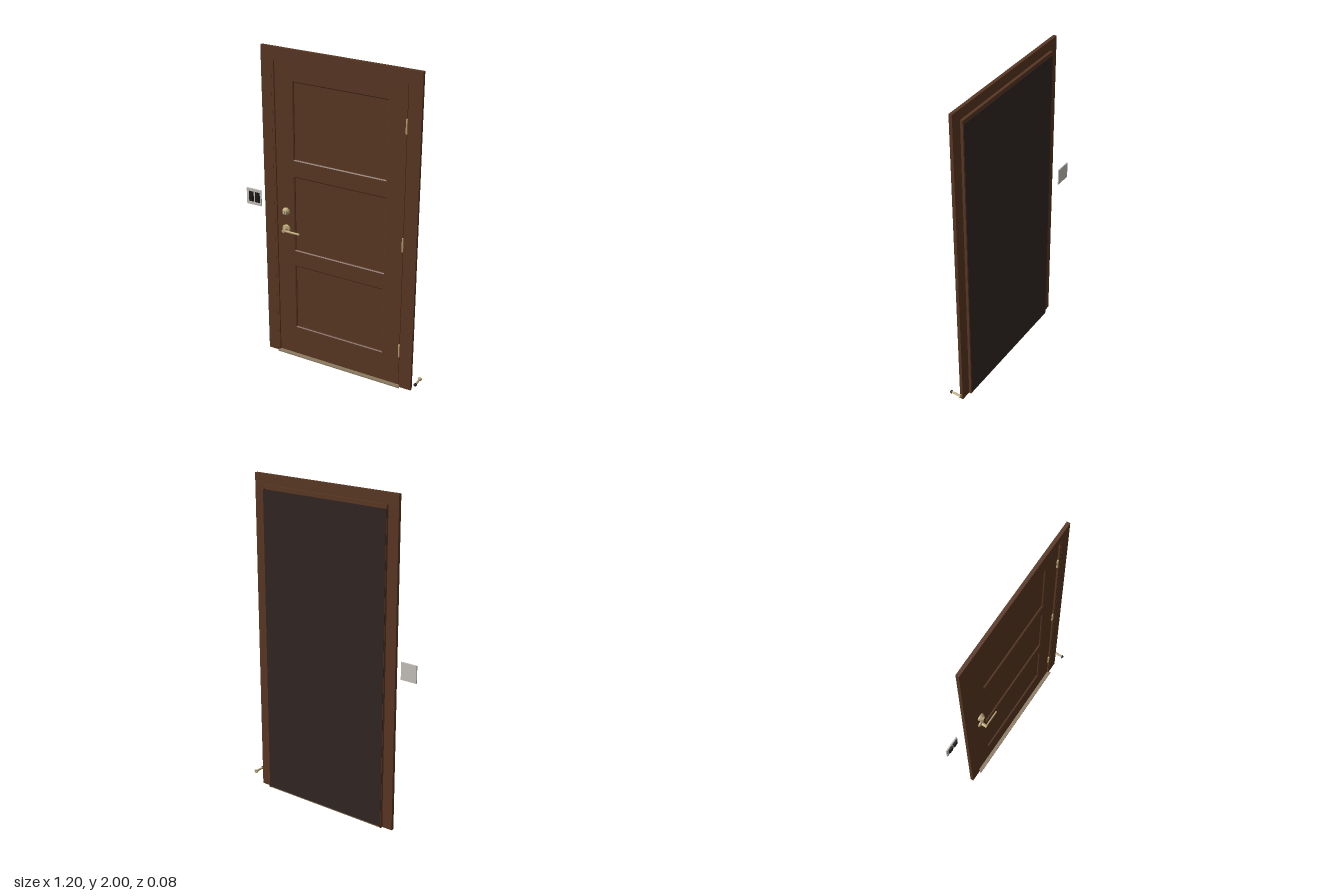
import * as THREE from 'three';

const mat = (name, color) => Object.assign(new THREE.MeshStandardMaterial({ color }), { name });

export function createModel() {
  const wood = mat('brown wood', 0x593622);
  const back = mat('dark backing', 0x312522);
  const brass = mat('pale brass', 0xb8a274);
  const sillMetal = mat('sill metal', 0x8a7a60);
  const plate = mat('switch plate', 0xc4c1bc);
  const black = mat('black', 0x1c1a19);

  const root = new THREE.Group();
  root.name = 'doorway';
  const group = (name) => {
    const g = new THREE.Group();
    g.name = name;
    root.add(g);
    return g;
  };
  const add = (parent, name, geo, m) => {
    const mesh = new THREE.Mesh(geo, m);
    mesh.name = name;
    parent.add(mesh);
    return mesh;
  };
  // box given by its limits on each axis
  const box = (parent, name, m, x0, x1, y0, y1, z0, z1) => {
    const b = add(parent, name, new THREE.BoxGeometry(x1 - x0, y1 - y0, z1 - z0), m);
    b.position.set((x0 + x1) / 2, (y0 + y1) / 2, (z0 + z1) / 2);
    return b;
  };
  // turned part along z, profile as [radius, z] pairs
  const turned = (parent, name, m, x, y, profile, seg = 24) => {
    const geo = new THREE.LatheGeometry(profile.map(([r, z]) => new THREE.Vector2(r, z)), seg);
    geo.rotateX(Math.PI / 2);
    const t = add(parent, name, geo.toNonIndexed(), m);
    t.geometry.computeVertexNormals();
    t.position.set(x, y, 0);
    return t;
  };

  // casing and jambs
  const frame = group('frame');
  box(frame, 'headCasing', wood, -0.45, 0.54, 1.925, 2, -0.02, 0);
  box(frame, 'rightCasing', wood, -0.45, -0.384, 0, 1.925, -0.02, 0);
  box(frame, 'leftCasing', wood, 0.474, 0.54, 0, 1.925, -0.02, 0);
  box(frame, 'rightJamb', wood, -0.384, -0.37, 0, 1.938, -0.036, -0.001);
  box(frame, 'leftJamb', wood, 0.46, 0.474, 0, 1.938, -0.036, -0.001);
  box(frame, 'headJamb', wood, -0.37, 0.46, 1.92, 1.938, -0.036, -0.001);
  box(frame, 'sill', sillMetal, -0.378, 0.467, 0, 0.008, -0.035, 0.014);
  box(frame, 'backing', back, -0.382, 0.468, 0.008, 1.915, -0.038, -0.036);

  // door leaf: stiles, rails and recessed panels
  const door = group('door');
  const zb = -0.034, zf = -0.008;
  const px0 = -0.255, px1 = 0.343;
  box(door, 'lockStile', wood, -0.368, px0, 0.011, 1.918, zb, zf);
  box(door, 'hingeStile', wood, px1, 0.454, 0.011, 1.918, zb, zf);
  const panels = [[0.205, 0.645], [0.745, 1.235], [1.335, 1.815]];
  const rails = [0.011, ...panels.flat(), 1.918];
  for (let i = 0; i < rails.length; i += 2) {
    box(door, 'rail', wood, px0, px1, rails[i], rails[i + 1], zb, zf);
  }
  for (const [y0, y1] of panels) {
    const geo = new THREE.BufferGeometry();
    const pos = [];
    // nested rectangles: [inset, z]
    const loops = [[0, zf], [0.006, zf - 0.004], [0.007, zf - 0.01], [0.012, zf - 0.01]];
    const ring = ([d, z]) => [
      [px0 + d, y0 + d, z], [px1 - d, y0 + d, z], [px1 - d, y1 - d, z], [px0 + d, y1 - d, z]];
    const quad = (a, b, c, d) => pos.push(...a, ...b, ...c, ...a, ...c, ...d);
    for (let i = 0; i + 1 < loops.length; i++) {
      const o = ring(loops[i]), n = ring(loops[i + 1]);
      for (let k = 0; k < 4; k++) quad(o[k], o[(k + 1) % 4], n[(k + 1) % 4], n[k]);
    }
    quad(...ring(loops[loops.length - 1]));
    geo.setAttribute('position', new THREE.Float32BufferAttribute(pos, 3));
    geo.computeVertexNormals();
    add(door, 'recessedPanel', geo, wood);
  }

  // hinges
  for (const y of [0.255, 0.965, 1.68]) {
    const hinge = group('hinge');
    hinge.position.set(0.454, y, -0.005);
    add(hinge, 'knuckle', new THREE.CylinderGeometry(0.006, 0.006, 0.08, 16), brass);
    for (const s of [-1, 1]) {
      add(hinge, 'finial', new THREE.SphereGeometry(0.005, 12, 8), brass).position.y = s * 0.041;
    }
    box(hinge, 'leaf', brass, -0.007, 0.004, -0.04, 0.04, -0.004, -0.001);
  }

  // lever handle
  const handle = group('leverHandle');
  turned(handle, 'rose', brass, -0.308, 0.885,
    [[0.026, zf], [0.026, -0.002], [0.022, 0.002], [0.011, 0.004], [0.009, 0.03], [0.011, 0.036], [0, 0.037]]);
  const lever = add(handle, 'lever', new THREE.CapsuleGeometry(0.007, 0.1, 6, 14), brass);
  lever.rotation.z = Math.PI / 2;
  lever.scale.z = 0.7;
  lever.position.set(-0.255, 0.885, 0.031);

  // deadbolt
  const bolt = group('deadbolt');
  turned(bolt, 'boltRose', brass, -0.308, 1,
    [[0.024, zf], [0.024, 0], [0.016, 0.012], [0.013, 0.018], [0, 0.018]]);
  turned(bolt, 'keyCylinder', plate, -0.308, 1, [[0.009, 0.017], [0.009, 0.02], [0, 0.02]]);
  box(bolt, 'keySlot', black, -0.3095, -0.3065, 0.995, 1.005, 0.0195, 0.021);

  // wall switch
  const sw = group('wallSwitch');
  box(sw, 'coverPlate', plate, -0.6, -0.499, 0.975, 1.08, -0.038, -0.031);
  for (const x of [-0.567, -0.524]) {
    box(sw, 'rocker', black, x - 0.016, x + 0.016, 0.997, 1.062, -0.031, -0.027);
    box(sw, 'rockerRaise', black, x - 0.012, x + 0.012, 1.005, 1.054, -0.027, -0.023);
  }
  box(sw, 'indicator', plate, -0.578, -0.573, 1.003, 1.008, -0.024, -0.0225);

  // door stop
  const stop = group('doorStop');
  turned(stop, 'stopRod', brass, 0.583, 0.076,
    [[0, -0.038], [0.013, -0.038], [0.013, -0.035], [0.007, -0.031], [0.006, 0.024], [0.009, 0.026]]);
  turned(stop, 'rubberTip', black, 0.583, 0.076,
    [[0, 0.025], [0.01, 0.025], [0.01, 0.033], [0.007, 0.036], [0, 0.036]]);

  return root;
}
